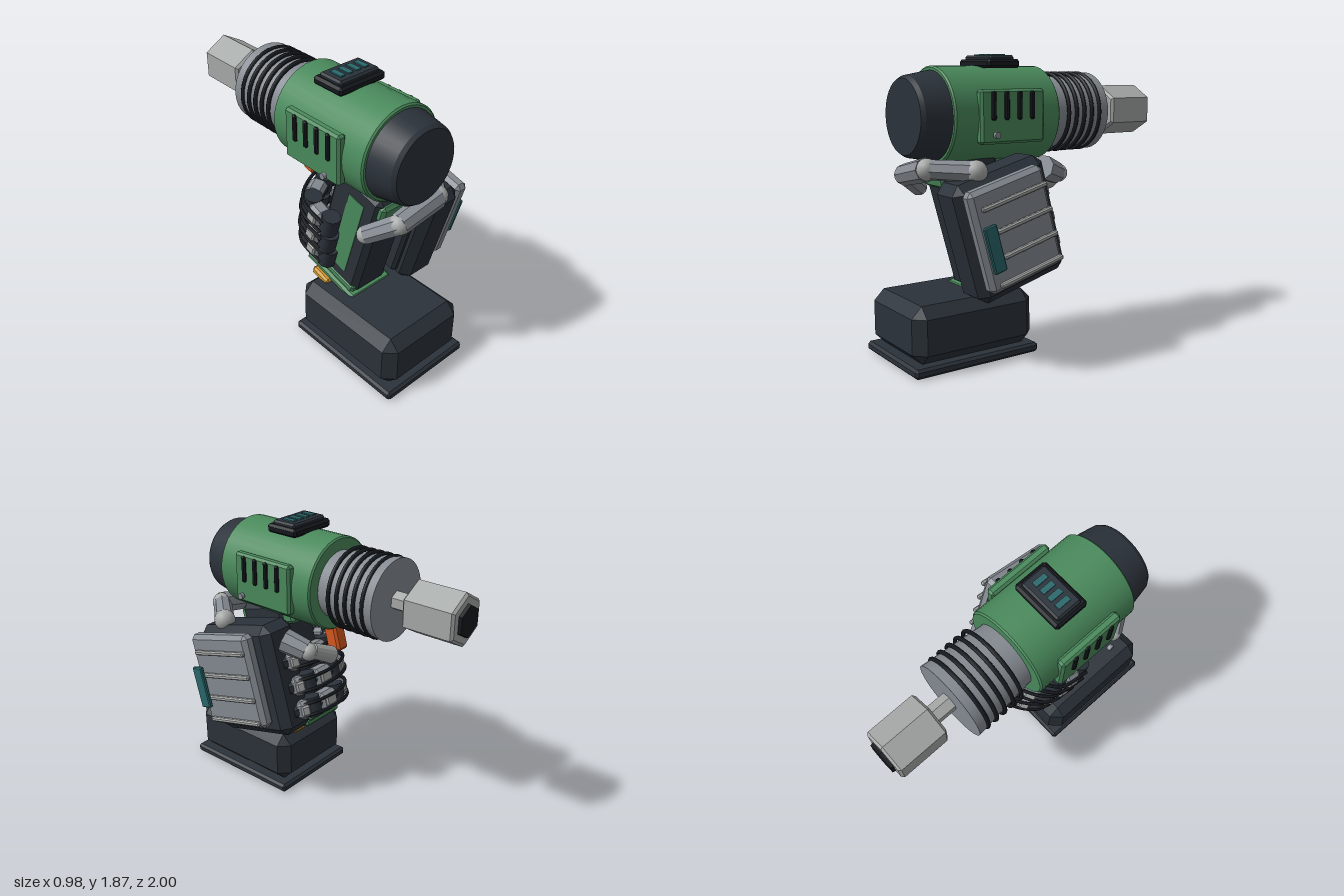
import * as THREE from 'three';
import { ConvexGeometry } from 'three/addons/geometries/ConvexGeometry.js';

const paint = (name, color) => {
  const m = new THREE.MeshStandardMaterial({ color });
  m.name = name;
  return m;
};
const V = (x, y, z) => new THREE.Vector3(x, y, z);

export function createModel() {
  const dark = paint('charcoal', 0x2b323a);
  const black = paint('rubber black', 0x15191e);
  const green = paint('tool green', 0x4a8a5c);
  const steel = paint('steel grey', 0x868c93);
  const light = paint('light metal', 0xa6aaa8);
  const teal = paint('teal', 0x2a686c);
  const yellow = paint('amber', 0xd39a2c);
  const orange = paint('trigger orange', 0xd8581f);

  const root = new THREE.Group();
  root.name = 'powerDrillWithHand';
  const AX = -0.12, AY = 1.5, LEAN = 0.265;

  const add = (parent, name, geo, mat, x = 0, y = 0, z = 0) => {
    const m = new THREE.Mesh(geo, mat);
    m.name = name;
    m.position.set(x, y, z);
    parent.add(m);
    return m;
  };
  // Box with every edge and corner cut by c
  const chamfer = (w, h, d, c) => {
    const pts = [];
    for (const i of [-1, 1]) for (const j of [-1, 1]) for (const k of [-1, 1]) {
      const a = i * w / 2, b = j * h / 2, e = k * d / 2;
      pts.push(V(a, b - j * c, e - k * c), V(a - i * c, b, e - k * c), V(a - i * c, b - j * c, e));
    }
    return new ConvexGeometry(pts);
  };
  const faceted = (g) => {
    const f = g.toNonIndexed();
    f.computeVertexNormals();
    return f;
  };
  // Cylinder along z from z0 (radius r0) to z1 (radius r1), z1 > z0
  const zCyl = (name, mat, z0, z1, r0, r1, sides = 36) => {
    let g = new THREE.CylinderGeometry(r1, r0, z1 - z0, sides).rotateX(Math.PI / 2);
    if (sides < 12) g = faceted(g);
    return add(root, name, g, mat, AX, AY, (z0 + z1) / 2);
  };
  // Faceted rod between two points
  const limb = (parent, name, a, b, ra, rb, mat, sides = 8) => {
    const d = b.clone().sub(a);
    const m = add(parent, name, faceted(new THREE.CylinderGeometry(rb, ra, d.length(), sides)), mat);
    m.position.copy(a).addScaledVector(d, 0.5);
    m.quaternion.setFromUnitVectors(V(0, 1, 0), d.normalize());
    return m;
  };

  // Motor housing and rear cap
  zCyl('housing', green, -0.06, 0.68, 0.3, 0.3);
  zCyl('housingFrontEdge', green, -0.07, -0.06, 0.29, 0.3);
  zCyl('housingRearEdge', green, 0.68, 0.69, 0.3, 0.29);
  zCyl('rearCap', dark, 0.69, 0.85, 0.275, 0.245);
  zCyl('rearCapEdge', dark, 0.85, 0.875, 0.245, 0.228);

  // Ribbed nose, shaft and hex socket
  zCyl('nose', steel, -0.5, -0.07, 0.258, 0.217);
  for (let i = 0; i < 5; i++) {
    add(root, 'noseRing', new THREE.TorusGeometry(0.252, 0.013, 8, 36), black, AX, AY, -0.178 - i * 0.063);
  }
  zCyl('shaft', light, -0.66, -0.5, 0.061, 0.061, 6);
  zCyl('socket', light, -0.965, -0.65, 0.168, 0.168, 6);
  zCyl('socketRearBevel', light, -0.65, -0.635, 0.168, 0.15, 6);
  zCyl('socketFrontBevel', light, -0.98, -0.965, 0.15, 0.168, 6);
  zCyl('socketHole', black, -1.0, -0.98, 0.1, 0.105, 6);

  // Side panels with vents and a screw
  for (const s of [-1, 1]) {
    add(root, 'sidePanel', chamfer(0.06, 0.325, 0.46, 0.015), green, AX + s * 0.294, AY, 0.3);
    for (let i = 0; i < 4; i++) {
      add(root, 'vent', chamfer(0.03, 0.17, 0.032, 0.008), black, AX + s * 0.324, 1.565, 0.166 + i * 0.093);
    }
    add(root, 'screw', new THREE.CylinderGeometry(0.02, 0.02, 0.024, 12).rotateZ(Math.PI / 2),
      steel, AX + s * 0.36, 1.394, 0.445);
  }

  // Charge display on top
  add(root, 'displayBase', chamfer(0.35, 0.055, 0.235, 0.015), black, AX, 1.812, 0.265);
  add(root, 'displayTop', chamfer(0.3, 0.05, 0.18, 0.012), dark, AX, 1.838, 0.265);
  for (let i = 0; i < 4; i++) {
    add(root, 'displayBar', new THREE.BoxGeometry(0.036, 0.009, 0.09), teal, AX - 0.09 + i * 0.06, 1.866, 0.265);
  }

  // Battery foot
  add(root, 'battery', chamfer(0.637, 0.355, 0.84, 0.068), dark, -0.117, 0.233, 0.56);
  add(root, 'batteryPlate', chamfer(0.67, 0.06, 0.87, 0.016), dark, -0.115, 0.03, 0.565);

  // Trigger
  const trigger = add(root, 'trigger', chamfer(0.1, 0.18, 0.1, 0.015), orange, AX, 1.13, -0.04);
  trigger.rotation.x = LEAN;

  // Everything that leans with the grip
  const grip = new THREE.Group();
  grip.name = 'gripAndHand';
  grip.position.set(0, 0.835, 0.385);
  grip.rotation.x = LEAN;
  root.add(grip);
  add(grip, 'handle', chamfer(0.285, 0.84, 0.39, 0.035), dark, AX, 0.02, 0);
  add(grip, 'handleNeck', chamfer(0.25, 0.12, 0.48, 0.02), green, AX, 0.35, -0.02);
  for (const s of [-1, 1]) {
    add(grip, 'handleInlay', new THREE.BoxGeometry(0.008, 0.6, 0.13), green, AX + s * 0.143, 0.03, 0.02);
  }
  add(grip, 'handleCollar', chamfer(0.3, 0.06, 0.43, 0.015), green, AX, -0.36, -0.03);
  add(grip, 'handleCollarLower', chamfer(0.34, 0.05, 0.45, 0.015), green, AX, -0.4, 0.0);
  add(grip, 'latch', chamfer(0.4, 0.055, 0.15, 0.014), yellow, AX, -0.44, -0.055);

  // Back of the hand with armour plate, ribs and light
  add(grip, 'palm', chamfer(0.28, 0.75, 0.65, 0.055), dark, 0.197, 0, 0);
  add(grip, 'palmInner', chamfer(0.06, 0.6, 0.5, 0.02), dark, 0.04, 0, 0);
  add(grip, 'armourPlate', chamfer(0.1, 0.63, 0.53, 0.028), steel, 0.38, 0.032, 0.035);
  for (let i = 0; i < 4; i++) {
    add(grip, 'rib', chamfer(0.032, 0.03, 0.46, 0.008), light, 0.446, 0.235 - i * 0.157, 0.015);
  }
  add(grip, 'handLight', chamfer(0.03, 0.285, 0.085, 0.007), teal, 0.469, 0, 0.238);

  // Three fingers curled round the grip
  [[0.1, 1], [-0.07, 0.93], [-0.235, 0.82]].forEach(([y, k]) => {
    const path = [[0.22, -0.29], [0.09, -0.35], [-0.15, -0.35], [-0.335 * k, -0.25], [-0.35 * k, -0.06]]
      .map(([x, z]) => V(x, y, z));
    for (let i = 0; i < 4; i++) {
      const a = path[i], b = path[i + 1], d = b.clone().sub(a);
      const yaw = Math.atan2(d.x, d.z), out = V(d.z, 0, -d.x).normalize();
      limb(grip, 'fingerLink', a, b, 0.052, 0.052, dark);
      add(grip, 'fingerJoint', new THREE.CylinderGeometry(0.06, 0.06, 0.13, 10), dark, b.x, y, b.z);
      const c = a.clone().lerp(b, 0.5).addScaledVector(out, -0.012);
      const block = add(grip, 'fingerArmour', chamfer(0.11, 0.125, d.length() * 0.66, 0.025), steel, c.x, y, c.z);
      block.rotation.y = yaw;
      const cap = c.clone().addScaledVector(out, -0.05);
      const plate = add(grip, 'fingerPlate', chamfer(0.035, 0.07, d.length() * 0.42, 0.01), light, cap.x, y, cap.z);
      plate.rotation.y = yaw;
    }
    // Tendon cables outside the finger
    for (const s of [-1, 1]) {
      const cable = [[0.2, -0.35], [0.09, -0.42], [-0.16, -0.42], [-0.36 * k - 0.03, -0.28], [-0.42 * k, -0.06]]
        .map(([x, z]) => V(x, y + s * 0.04, z));
      add(grip, 'fingerCable', new THREE.TubeGeometry(new THREE.CatmullRomCurve3(cable), 24, 0.011, 6), black);
    }
  });

  // Index finger reaching for the trigger
  const i0 = V(0.22, 1.18, 0.1), i1 = V(0.17, 1.13, -0.04), i2 = V(0.0, 1.06, -0.1);
  limb(root, 'indexBase', i0, i1, 0.08, 0.07, steel);
  add(root, 'indexJoint', new THREE.SphereGeometry(0.058, 14, 10), light, i1.x, i1.y, i1.z - 0.02);
  limb(root, 'indexTip', V(0.16, 1.14, -0.075), i2, 0.05, 0.058, light, 14);

  // Thumb crossing the front of the grip
  const thumb = [V(0.25, 1.19, 0.6), V(0.06, 1.2, 0.82), V(-0.24, 1.14, 0.81), V(-0.35, 1.04, 0.66)];
  [0.066, 0.074, 0.064].forEach((r, i) => {
    limb(root, 'thumbSegment', thumb[i], thumb[i + 1], r, r * 0.92, steel);
    add(root, 'thumbJoint', new THREE.SphereGeometry(0.07 - i * 0.003, 16, 12), light, ...thumb[i].toArray());
  });
  add(root, 'thumbTip', new THREE.SphereGeometry(0.055, 14, 10), light, ...thumb[3].toArray());

  return root;
}
